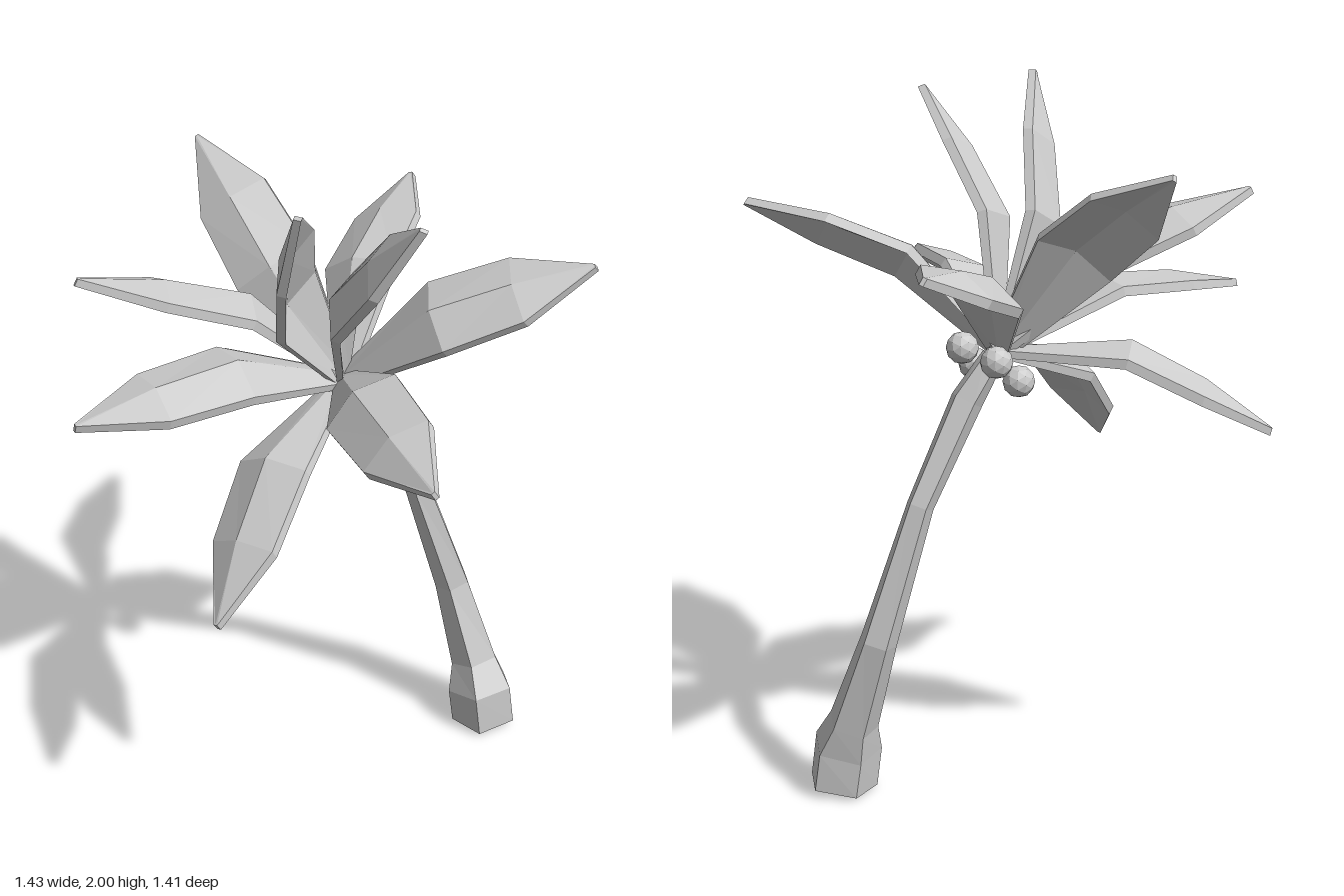
import * as THREE from 'three';

const V = (x, y, z) => new THREE.Vector3(x, y, z);
const material = new THREE.MeshStandardMaterial({ color: 0xcccccc, flatShading: true });

// Skin a list of equal-length point rings and cap both ends
function loft(rings) {
  const pos = [];
  const tri = (...pts) => pts.forEach((p) => pos.push(p.x, p.y, p.z));
  const n = rings[0].length;
  for (let i = 0; i < rings.length - 1; i++) {
    for (let j = 0; j < n; j++) {
      const k = (j + 1) % n;
      const [a, b, c, d] = [rings[i][j], rings[i][k], rings[i + 1][k], rings[i + 1][j]];
      tri(a, d, c);
      tri(a, c, b);
    }
  }
  const middle = (ring) => ring.reduce((s, p) => s.add(p), V(0, 0, 0)).divideScalar(n);
  const first = rings[0], last = rings[rings.length - 1];
  const m0 = middle(first), m1 = middle(last);
  for (let j = 0; j < n; j++) {
    const k = (j + 1) % n;
    tri(m0, first[j], first[k]);
    tri(m1, last[k], last[j]);
  }
  const geometry = new THREE.BufferGeometry();
  geometry.setAttribute('position', new THREE.Float32BufferAttribute(pos, 3));
  geometry.computeVertexNormals();
  return geometry;
}

// Five-sided curved trunk with a swollen foot: centre and radius of each ring
function trunkGeometry() {
  const path = [
    [0.568, 0.012, 0.013, 0.103], [0.553, 0.13, 0.008, 0.103], [0.548, 0.215, -0.03, 0.075],
    [0.495, 0.48, -0.1, 0.055], [0.368, 0.87, -0.118, 0.04], [0.215, 1.15, -0.103, 0.048],
    [0.14, 1.27, -0.12, 0.035],
  ];
  const centres = path.map(([x, y, z]) => V(x, y, z));
  const rings = centres.map((c, i) => {
    const before = centres[Math.max(i - 1, 0)];
    const after = centres[Math.min(i + 1, centres.length - 1)];
    const t = after.clone().sub(before).normalize();
    const w = V(1, 0, 0).cross(t).normalize(); // roughly +z
    const u = t.clone().cross(w); // roughly +x
    return Array.from({ length: 5 }, (_, j) => {
      const a = -Math.PI / 2 + (j / 5) * Math.PI * 2;
      const r = path[i][3];
      return c.clone().addScaledVector(u, r * Math.cos(a)).addScaledVector(w, r * Math.sin(a));
    });
  });
  return loft(rings);
}

// Thick roof-folded leaf arching from the crown to its tip, rolled to lie along a side vector
const crown = V(0.125, 1.28, -0.12);
function frondGeometry(tip, across) {
  const dir = tip.clone().sub(crown).normalize();
  const side = across.clone().addScaledVector(dir, -across.dot(dir)).normalize();
  const up = side.clone().cross(dir);
  if (up.y < 0) {
    side.negate();
    up.negate();
  }
  // t along the leaf, arch height, half width, ridge height, half thickness
  const section = ([t, arch, half, ridge, thick]) => {
    const centre = crown.clone().lerp(tip, t).addScaledVector(up, arch);
    const at = (s, h) => centre.clone().addScaledVector(side, s * half).addScaledVector(up, h);
    return [
      at(1, thick), at(0, ridge + thick), at(-1, thick),
      at(-1, -thick), at(0, ridge - thick), at(1, -thick),
    ];
  };
  return loft([
    [0, 0, 0.03, 0.008, 0.01],
    [0.44, 0.085, 0.118, 0.04, 0.014],
    [0.73, 0.045, 0.108, 0.033, 0.014],
    [1, 0, 0.006, 0, 0.011],
  ].map(section));
}

// Each frond: tip, then the direction across its blade
const fronds = [
  [[-0.08, 1.84, -0.695], [0.16, 0.1, 0.04]],
  [[0.58, 1.63, -0.615], [0.12, 0.07, 0.16]],
  [[-0.515, 1.07, -0.525], [-0.1, -0.02, 0.2]],
  [[-0.615, 1.69, -0.24], [0.04, -0.01, 0.23]],
  [[-0.71, 1.37, -0.03], [0.01, -0.04, 0.21]],
  [[-0.45, 0.86, 0.31], [0.1, 0.05, 0.18]],
  [[0, 1.395, 0.7], [0.17, 0.11, 0]],
  [[0.705, 1.69, 0.26], [-0.04, -0.11, 0.24]],
  [[-0.17, 1.995, 0.235], [0.12, 0.09, -0.11]],
  [[0.125, 1.955, 0.355], [0.09, 0.08, -0.09]],
];

// Nuts clustered under the crown
const nuts = [
  [0.215, 1.295, -0.08], [0.145, 1.225, -0.015], [0.055, 1.185, -0.11], [0.16, 1.27, -0.18],
];

export function createModel() {
  const model = new THREE.Group();
  model.name = 'palmTree';
  const add = (name, geometry, parent = model) => {
    const mesh = new THREE.Mesh(geometry, material);
    mesh.name = name;
    parent.add(mesh);
    return mesh;
  };

  add('trunk', trunkGeometry());

  const crownGroup = new THREE.Group();
  crownGroup.name = 'fronds';
  model.add(crownGroup);
  fronds.forEach((points, i) => {
    add(`frond${i + 1}`, frondGeometry(...points.map((p) => V(...p))), crownGroup);
  });

  const nutGroup = new THREE.Group();
  nutGroup.name = 'coconuts';
  model.add(nutGroup);
  const nutGeometry = new THREE.IcosahedronGeometry(0.046, 1);
  nuts.forEach((p, i) => add(`coconut${i + 1}`, nutGeometry, nutGroup).position.set(...p));

  return model;
}
